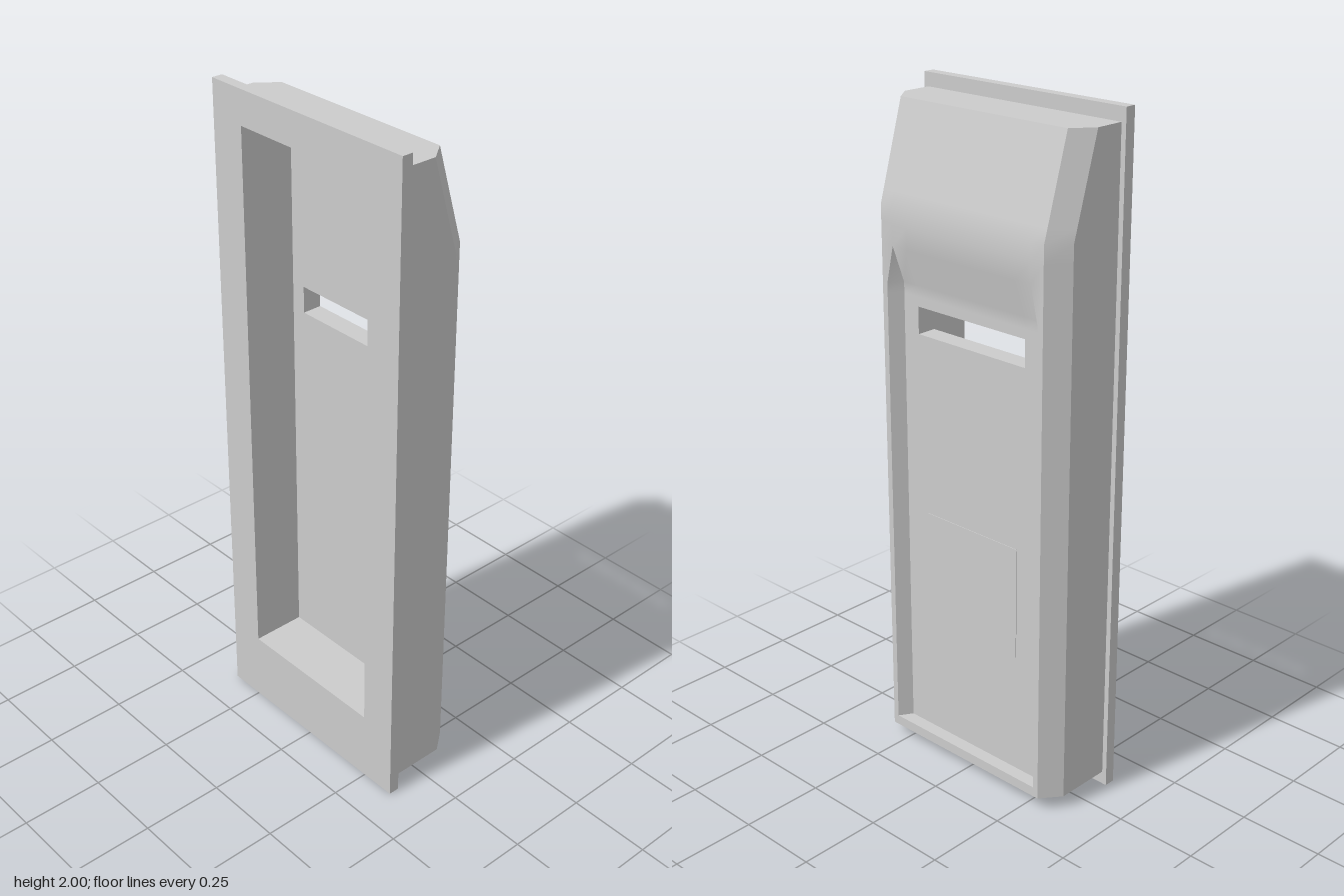
import * as THREE from 'three';
import { toCreasedNormals } from 'three/addons/utils/BufferGeometryUtils.js';

const material = new THREE.MeshStandardMaterial({ color: 0xcccccc });

// Skin successive sections of [x, y, z] points; skip(i, j) leaves a quad open
function loft(sections, skip = () => false) {
  const out = [];
  const tri = (...pts) => {
    const [a, b, c] = pts.map((p) => new THREE.Vector3(...p));
    if (b.clone().sub(a).cross(c.clone().sub(a)).length() > 1e-9) out.push(...pts.flat());
  };
  for (let i = 0; i < sections.length - 1; i++) {
    const s = sections[i], t = sections[i + 1];
    for (let j = 0; j < s.length - 1; j++) {
      if (skip(i, j)) continue;
      tri(s[j], s[j + 1], t[j + 1]);
      tri(s[j], t[j + 1], t[j]);
    }
  }
  const g = new THREE.BufferGeometry();
  g.setAttribute('position', new THREE.Float32BufferAttribute(out, 3));
  return toCreasedNormals(g, 0.45);
}

// Closed rectangular loop in the plane x
const loop = (x, w, y0, y1) => [[x, y0, w], [x, y0, -w], [x, y1, -w], [x, y1, w], [x, y0, w]];

// Rectangle outline, optionally as a hole
function rect(w, y0, y1, Type = THREE.Shape) {
  return new Type([[-w, y0], [w, y0], [w, y1], [-w, y1]].map((p) => new THREE.Vector2(...p)));
}

// Horizontal body section: front x, rim edge z, recess depth
function section([y, front, rim, depth]) {
  const half = [
    [-0.1, y, 0.345], [front - 0.06, y, 0.345], [front, y, 0.298],
    [front, y, rim], [front - depth, y, 0.255], [front - depth, y, 0.2],
  ];
  return [...half, ...half.map(([x, h, z]) => [x, h, -z]).reverse()];
}

export function createModel() {
  const group = new THREE.Group();
  const add = (name, geometry) => {
    const mesh = new THREE.Mesh(geometry, material);
    mesh.name = name;
    group.add(mesh);
    return mesh;
  };

  // Chamfered body with a shallow front recess that ramps out at the top
  const F = 0.133, D = 0.04, floorX = F - D, pocketX = 0.033;
  const sections = [
    [0.04, F, 0.28, 0], [0.07, F, 0.28, 0], [0.07, F, 0.28, D],
    [1.32, F, 0.28, D], [1.40, F, 0.28, D], [1.43, F, 0.28, D], [1.46, F, 0.28, D],
    [1.57, F, 0.255, 0], [1.63, F, 0.255, 0], [1.68, F, 0.255, 0],
    [1.72, 0.121, 0.255, 0], [1.96, 0.05, 0.255, 0],
  ].map(section);
  add('body', loft(sections, (i, j) => i === 3 && j === 5));

  // End caps
  const top = sections.at(-1), bottom = sections[0];
  add('topCap', loft([top, top.map(() => top[0])]));
  add('bottomCap', loft([bottom.map(() => bottom[0]), bottom]));

  // Slot through the recess floor
  add('slotWalls', loft([loop(floorX, 0.2, 1.32, 1.4), loop(pocketX, 0.2, 1.32, 1.4)]));

  // Flush hatch below the slot
  const hatch = add('hatch', new THREE.BoxGeometry(0.004, 0.34, 0.35));
  hatch.position.set(floorX, 0.61, 0);

  // Mounting flange, open at the rear pocket
  const flange = rect(0.36, 0, 2);
  flange.holes.push(rect(0.245, 0.22, 1.9, THREE.Path));
  add('flange', new THREE.ExtrudeGeometry(flange, { depth: 0.033, bevelEnabled: false })
    .rotateY(Math.PI / 2).translate(-0.133, 0, 0));

  // Rear pocket
  add('pocketWalls', loft([loop(pocketX, 0.245, 0.22, 1.9), loop(-0.1, 0.245, 0.22, 1.9)]));
  const back = rect(0.245, 0.22, 1.9);
  back.holes.push(rect(0.2, 1.32, 1.4, THREE.Path));
  add('pocketFloor', new THREE.ShapeGeometry(back).rotateY(-Math.PI / 2).translate(pocketX, 0, 0));

  return group;
}
